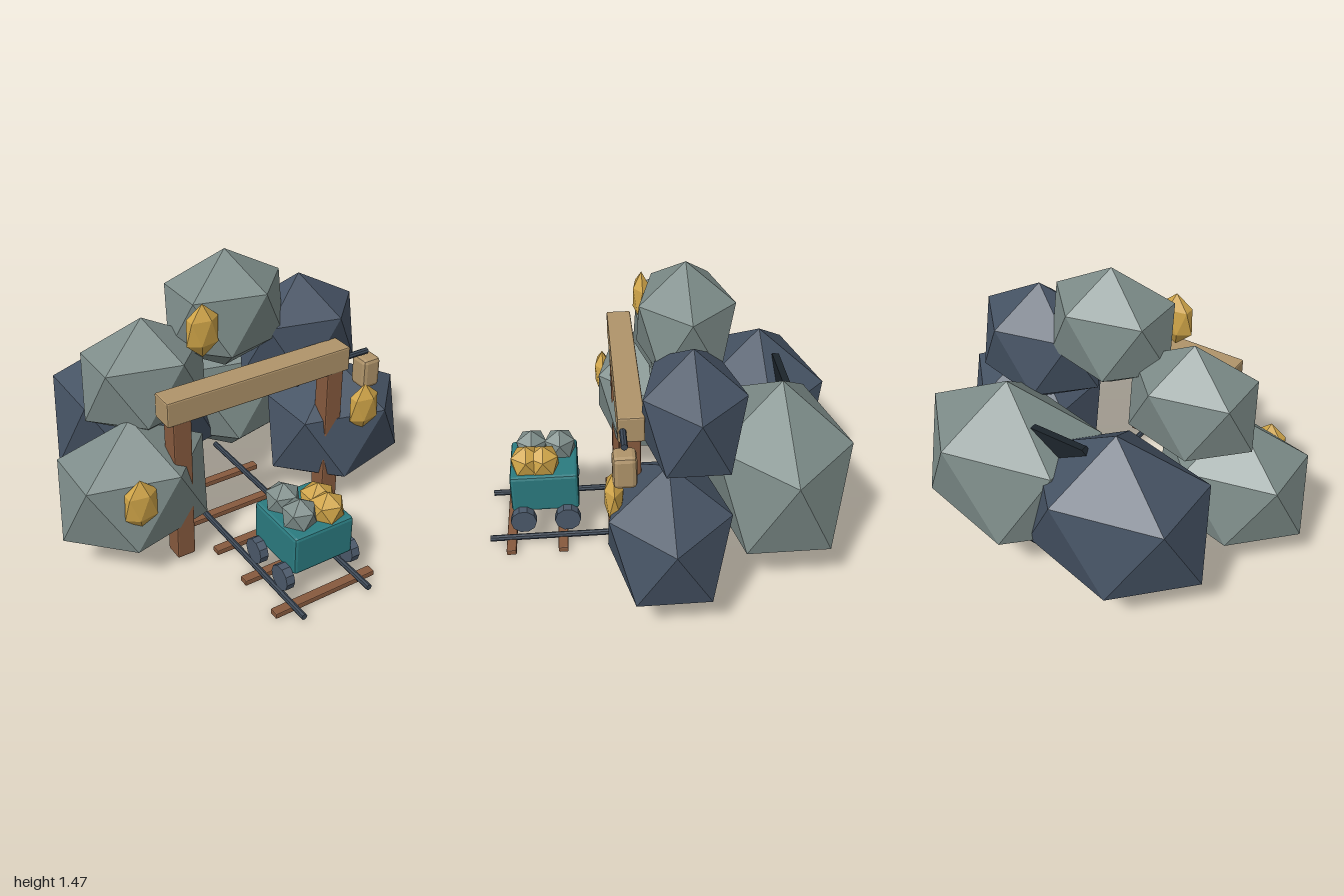
import * as THREE from 'three';
import { RoundedBoxGeometry } from 'three/addons/geometries/RoundedBoxGeometry.js';

const makeMaterial = (name, color) => {
  const m = new THREE.MeshStandardMaterial({ color });
  m.name = name;
  return m;
};

// Faceted normals for low-poly shapes
function flat(geometry) {
  const g = geometry.index ? geometry.toNonIndexed() : geometry;
  g.computeVertexNormals();
  return g;
}

// Twenty-sided stone standing on a corner: a pole, two rings of five, a pole
function stoneGeometry() {
  const h = 1 / Math.sqrt(5), r = 2 * h;
  const ring = (i, y, turn) => {
    const a = ((i + turn) * Math.PI * 2) / 5;
    return [r * Math.cos(a), y, -r * Math.sin(a)];
  };
  const top = [0, 1, 0], bottom = [0, -1, 0], points = [];
  for (let i = 0; i < 5; i++) {
    const u0 = ring(i, h, 0), u1 = ring(i + 1, h, 0);
    const l0 = ring(i, -h, 0.5), l1 = ring(i + 1, -h, 0.5);
    points.push(top, u0, u1, u0, l0, u1, l0, l1, u1, bottom, l1, l0);
  }
  const g = new THREE.BufferGeometry();
  g.setAttribute('position', new THREE.Float32BufferAttribute(points.flat(), 3));
  return g;
}

export function createModel() {
  const model = new THREE.Group();
  model.name = 'mineEntrance';

  const greyRock = makeMaterial('grey rock', 0x7d8c89);
  const slateRock = makeMaterial('slate rock', 0x465364);
  const gold = makeMaterial('gold', 0xcfa448);
  const teal = makeMaterial('teal paint', 0x2b7b80);
  const brownWood = makeMaterial('brown wood', 0x875a3e);
  const tanWood = makeMaterial('tan wood', 0xb0946a);
  const iron = makeMaterial('dark iron', 0x3c4856);
  const wheelIron = makeMaterial('wheel iron', 0x4b596a);
  const darkness = makeMaterial('tunnel dark', 0x1c242b);

  const add = (parent, name, geometry, material, x, y, z) => {
    const mesh = new THREE.Mesh(geometry, material);
    mesh.name = name;
    mesh.position.set(x, y, z);
    parent.add(mesh);
    return mesh;
  };
  const group = (name) => {
    const g = new THREE.Group();
    g.name = name;
    model.add(g);
    return g;
  };
  const stone = (parent, name, material, position, size) => {
    const geometry = stoneGeometry().scale(...size);
    geometry.computeVertexNormals();
    return add(parent, name, geometry, material, ...position);
  };
  const box = (parent, name, material, position, size, bevel = 0.008) =>
    add(parent, name, flat(new RoundedBoxGeometry(...size, 1, bevel)), material, ...position);
  const rod = (radius, length, sides) => flat(new THREE.CylinderGeometry(radius, radius, length, sides));

  // Rock pile
  const rocks = group('rocks');
  [
    ['frontRock', greyRock, [-0.61, 0.41, 0.01], [0.436, 0.39, 0.32]],
    ['frontRock', slateRock, [0.605, 0.385, 0.005], [0.436, 0.376, 0.33]],
    ['upperRock', greyRock, [-0.45, 0.905, -0.14], [0.36, 0.32, 0.265]],
    ['upperRock', slateRock, [0.43, 0.915, -0.12], [0.375, 0.34, 0.275]],
    ['topRock', greyRock, [0, 1.16, -0.13], [0.352, 0.316, 0.267]],
    ['backRock', slateRock, [-0.31, 0.475, -0.56], [0.52, 0.46, 0.383]],
    ['backRock', greyRock, [0.3, 0.5, -0.56], [0.54, 0.488, 0.383]],
  ].forEach((r) => stone(rocks, ...r));

  // Dark eight-sided plate closing the tunnel
  const plate = rod(0.41, 0.035, 8).rotateY(Math.PI / 8).rotateX(Math.PI / 2);
  plate.scale(1.1, 1, 1);
  add(model, 'tunnelBack', plate, darkness, -0.01, 0.475, -0.627);

  // Gold nuggets set in the rock faces
  const nuggets = group('goldNuggets');
  [[-0.235, 1.185, 0.06], [-0.69, 0.488, 0.255], [0.605, 0.6, 0.255]].forEach((p) =>
    stone(nuggets, 'nugget', gold, p, [0.096, 0.138, 0.05]));

  // Timber gate
  const gate = group('timberGate');
  for (const x of [-0.44, 0.437]) box(gate, 'post', brownWood, [x, 0.445, 0.17], [0.098, 0.8, 0.1]);
  box(gate, 'beam', tanWood, [-0.003, 0.898, 0.165], [1.035, 0.13, 0.125]);

  // Lantern hanging from a bracket
  const bracket = rod(0.016, 0.16, 8).rotateZ(Math.PI / 2);
  add(gate, 'lanternBracket', bracket, iron, 0.56, 0.897, 0.204);
  box(gate, 'lantern', tanWood, [0.641, 0.787, 0.205], [0.105, 0.165, 0.11], 0.022);

  // Rail track
  const track = group('track');
  for (const x of [-0.19, 0.19]) {
    add(track, 'rail', rod(0.016, 1.45, 8).rotateX(Math.PI / 2), iron, x, 0.043, 0.16);
  }
  for (let i = 0; i < 5; i++) {
    box(track, 'sleeper', brownWood, [0, 0.024, 0.775 - i * 0.265], [0.58, 0.03, 0.05], 0.006);
  }

  // Mine cart
  const cart = group('mineCart');
  box(cart, 'cartBody', teal, [0, 0.295, 0.59], [0.335, 0.21, 0.345], 0.016);
  for (const x of [-0.19, 0.19]) {
    for (const z of [0.48, 0.705]) {
      add(cart, 'wheel', rod(0.066, 0.045, 10).rotateZ(Math.PI / 2), wheelIron, x, 0.157, z);
    }
  }

  // Ore load
  [
    [greyRock, [-0.065, 0.437, 0.505]],
    [greyRock, [-0.07, 0.437, 0.65]],
    [gold, [0.075, 0.437, 0.59]],
    [gold, [0.07, 0.437, 0.675]],
  ].forEach(([m, p]) => stone(cart, 'ore', m, p, [0.094, 0.09, 0.09]));

  return model;
}
